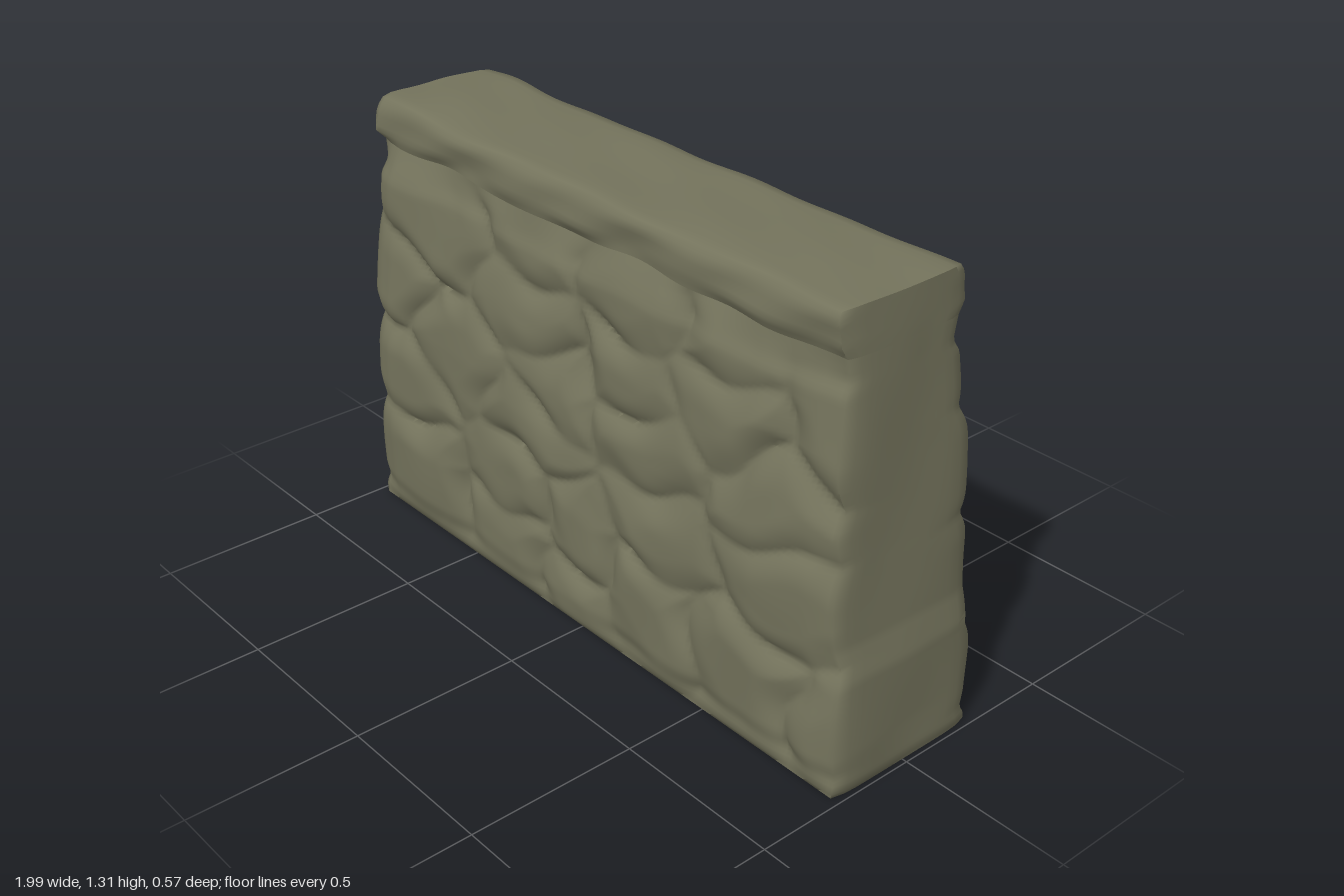
import * as THREE from 'three';
import { mergeVertices, toCreasedNormals } from 'three/addons/utils/BufferGeometryUtils.js';

const NECK_Y = 1.175, TOP_Y = 1.3;

// stone centres (x, y) on each face
const FRONT = [
  [-0.75, 0.2], [-0.28, 0.12], [-0.02, 0.07], [0.28, 0.21], [0.66, 0.2], [1.0, 0.16],
  [-0.27, 0.38], [0.0, 0.32], [-0.82, 0.5], [-0.2, 0.55], [0.3, 0.5], [0.8, 0.5],
  [-0.57, 0.66], [-0.88, 0.78], [-0.1, 0.72], [0.26, 0.66], [0.72, 0.74],
  [-0.2, 0.88], [0.16, 0.87], [0.58, 0.9], [-0.68, 1.0], [-0.2, 1.1],
  [0.2, 1.07], [0.55, 1.1], [0.9, 1.0],
];
const BACK = [
  [0.8, 0.18], [0.42, 0.13], [0.1, 0.2], [-0.28, 0.14], [-0.62, 0.22], [-0.95, 0.18],
  [0.5, 0.4], [0.9, 0.48], [-0.05, 0.46], [-0.4, 0.44], [-0.8, 0.52], [0.25, 0.62],
  [0.65, 0.68], [-0.2, 0.7], [-0.55, 0.74], [0.92, 0.8], [0.05, 0.86], [0.42, 0.88],
  [-0.85, 0.86], [-0.35, 0.98], [0.72, 1.03], [0.2, 1.09], [-0.08, 1.07], [-0.68, 1.08],
];

// piecewise-linear lookup in [position, value] pairs
function lookup(table, t) {
  for (let i = 1; i < table.length; i++) {
    const [a, va] = table[i - 1], [b, vb] = table[i];
    if (t <= b) return va + (vb - va) * Math.max(0, (t - a) / (b - a));
  }
  return table[table.length - 1][1];
}

// half depths by height, losses towards each end by x, and end positions by height
const FRONT_DEPTH = [[0, 0.248], [0.03, 0.268], [0.1, 0.282], [0.4, 0.28], [0.65, 0.276], [0.9, 0.259], [1.08, 0.246], [NECK_Y, 0.207]];
const BACK_DEPTH = [[0, 0.245], [0.03, 0.26], [0.1, 0.271], [0.4, 0.266], [0.65, 0.261], [0.9, 0.248], [1.08, 0.232], [NECK_Y, 0.192]];
const END_LOSS = [[-1, 0.03], [-0.96, 0.012], [-0.9, 0], [0.72, 0], [0.92, 0.018], [1, 0.035]];
const RIGHT_X = [[0, 0.985], [0.03, 0.993], [0.33, 0.985], [0.42, 0.965], [0.6, 0.953], [1.2, 0.911], [TOP_Y, 0.903]];
const LEFT_X = [[0, 0.985], [0.03, 0.995], [0.6, 0.98], [1, 0.961], [TOP_Y, 0.948]];

const wave = (a, b, s) =>
  (Math.sin(a * 7.1 + s) * Math.cos(b * 6.3 - s * 2) + 0.5 * Math.sin(a * 15.7 - b * 11 + s * 3)) / 1.5;

// bulge of the rubble: worn joints of varying depth between tilted, pillowed stones
function stoneHeight(stones, x, y) {
  const wx = x + 0.03 * Math.sin(y * 19 + x * 6), wy = y + 0.02 * Math.sin(x * 17 + y * 5);
  let d1 = 9, d2 = 9, near = 0;
  stones.forEach(([sx, sy], i) => {
    const d = Math.hypot((wx - sx) / 1.25, wy - sy);
    if (d < d1) { d2 = d1; d1 = d; near = i; } else if (d < d2) d2 = d;
  });
  const joint = 1 - Math.min(1, (d2 - d1) / 0.16);
  const [sx, sy] = stones[near];
  const tilt = (0.05 * Math.sin(near * 2.4) * (wx - sx) + 0.06 * Math.cos(near * 1.7) * (wy - sy)) * (1 - joint);
  const wear = 0.026 + 0.016 * wave(x * 1.3, y * 1.6, 1.2);
  return tilt - wear * joint * joint - 0.1 * d1 * d1;
}

// box shell with one face (a BoxGeometry group) left open, each vertex moved by rule(x, y, z in -1..1)
function shapedBox(segments, openFace, rule) {
  let geo = new THREE.BoxGeometry(2, 2, 2, ...segments);
  const { start, count } = geo.groups[openFace];
  const index = Array.from(geo.index.array);
  index.splice(start, count);
  geo.setIndex(index);
  geo.clearGroups();
  geo.deleteAttribute('normal');
  geo.deleteAttribute('uv');
  geo = mergeVertices(geo, 1e-5);
  const p = geo.attributes.position;
  for (let i = 0; i < p.count; i++) p.setXYZ(i, ...rule(p.getX(i), p.getY(i), p.getZ(i)));
  return toCreasedNormals(geo, 1.3);
}

// tapering ends, slightly worn towards their vertical corners
function endX(u, y, w) {
  const limit = u > 0 ? lookup(RIGHT_X, y) : lookup(LEFT_X, y);
  const rough = 0.007 * wave(y, w * 0.5, u > 0 ? 1 : 4) * Math.min(1, y * 8);
  return u * (limit + rough - 0.012 * w ** 8);
}

// wavering line where the body meets the coping, drawn in at both ends
const neckDepth = (u, front) =>
  lookup(front ? FRONT_DEPTH : BACK_DEPTH, NECK_Y) + 0.009 * wave(u * 1.3, 0, front ? 2 : 6) - 0.6 * lookup(END_LOSS, u);
const neckY = (u, w) => NECK_Y + 0.012 * wave(u, w * 0.4, 3) * (1 - u ** 8);

// wall body: battered sides with rubble on both long faces
function bodyRule(u, v, w) {
  const t = (v + 1) / 2;
  const y = t * neckY(u, w);
  const level = t * NECK_Y;
  const x = endX(u, level, w);
  const front = w > 0;
  const edge = Math.min(1, level / 0.06, (NECK_Y - level) / 0.06);
  let depth = lookup(front ? FRONT_DEPTH : BACK_DEPTH, level);
  depth += stoneHeight(front ? FRONT : BACK, x, y) * edge;
  depth += 0.009 * edge * wave(x, y, front ? 0.5 : 2.5) - lookup(END_LOSS, u) * edge;
  const blend = Math.max(0, 1 - (NECK_Y - level) / 0.1);
  return [x, y, w * (depth + (neckDepth(u, front) - lookup(front ? FRONT_DEPTH : BACK_DEPTH, NECK_Y)) * blend)];
}

// coping: rough flared slab growing out of the neck, with a worn top edge
function capRule(u, v, w) {
  const t = (v + 1) / 2;
  const x = endX(u, NECK_Y + (TOP_Y - NECK_Y) * t, w);
  const front = w > 0;
  const lift = 0.004 * wave(x * 0.8, w * 0.5, 2) + 0.012 * Math.exp(-(((x + 0.8) / 0.15) ** 2)) - 0.006 * w ** 6;
  const base = neckY(u, w);
  const y = base + (TOP_Y - base) * t + lift * t * t;
  const face = (front ? 0.216 : 0.2) + 0.01 * wave(x * 1.2, t * 0.4, front ? 3 : 5);
  const swell = Math.min(1, t / 0.25);
  const worn = 0.016 * Math.max(0, (t - 0.7) / 0.3) ** 2;
  return [x, y, w * (neckDepth(u, front) * (1 - swell) + face * swell - worn)];
}

export function createModel() {
  const group = new THREE.Group();
  group.name = 'stoneWall';
  const stone = new THREE.MeshStandardMaterial({ color: 0x74735c });
  stone.name = 'mossy grey stone';

  const add = (name, geometry) => {
    const mesh = new THREE.Mesh(geometry, stone);
    mesh.name = name;
    group.add(mesh);
  };
  add('rubbleBody', shapedBox([140, 90, 12], 2, bodyRule));
  add('copingCap', shapedBox([140, 8, 12], 3, capRule));
  return group;
}
